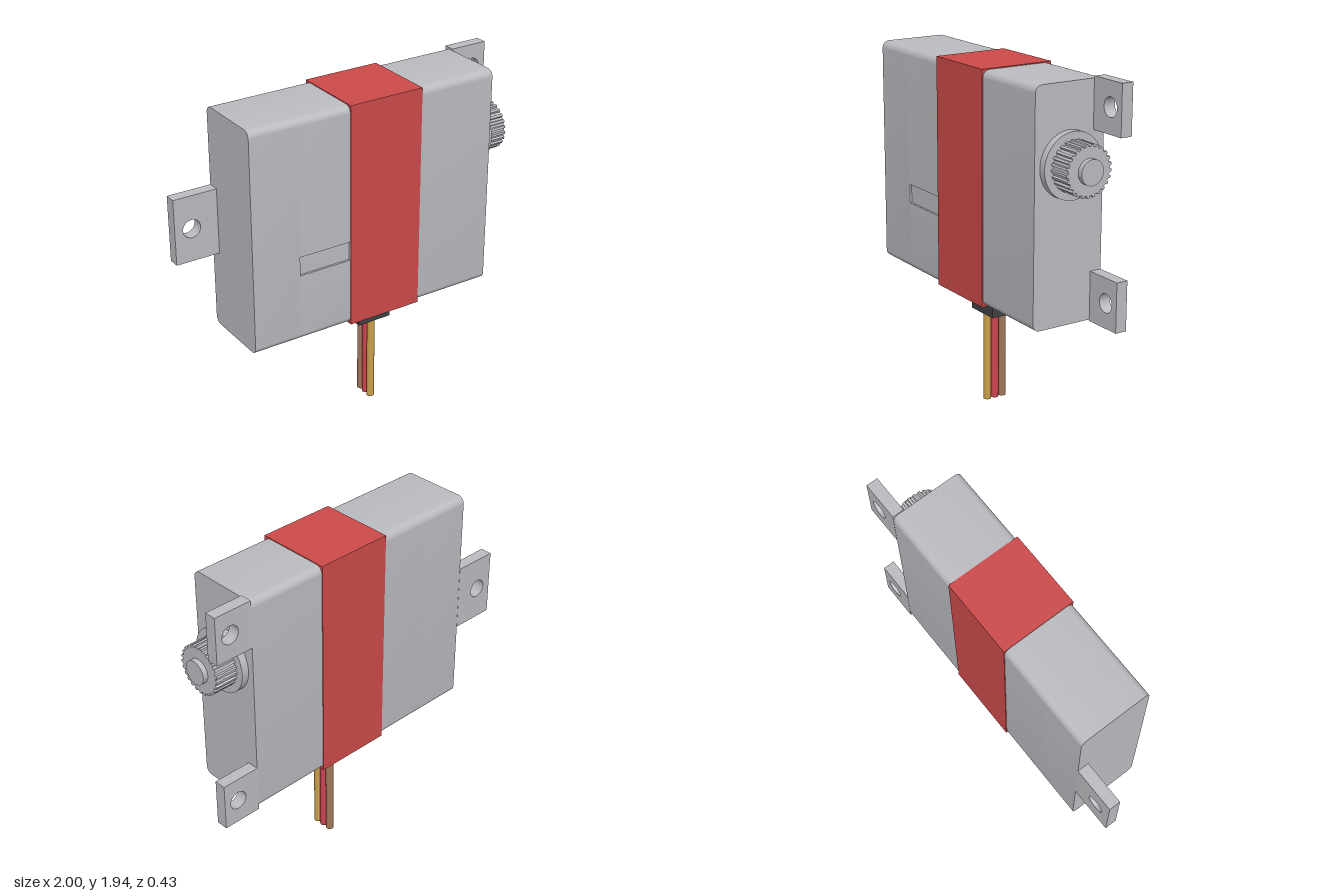
import * as THREE from 'three';
import { toCreasedNormals } from 'three/addons/utils/BufferGeometryUtils.js';

const mat = (name, color) => Object.assign(new THREE.MeshStandardMaterial({ color }), { name });

export function createModel() {
  const model = new THREE.Group();
  model.name = 'servoMotor';
  const grey = mat('light grey', 0xb9bbbf);
  const red = mat('red', 0xcc4a4a);
  const black = mat('charcoal', 0x404143);
  const gold = mat('ochre', 0xc99f4c);
  const brown = mat('brown', 0xa0765b);
  const wireRed = mat('wire red', 0xcc4450);

  const add = (name, geometry, material) => {
    const mesh = new THREE.Mesh(geometry, material);
    mesh.name = name;
    model.add(mesh);
    return mesh;
  };
  const box = (name, x0, x1, y0, y1, z0, z1, material) =>
    add(name, new THREE.BoxGeometry(x1 - x0, y1 - y0, z1 - z0), material)
      .position.set((x0 + x1) / 2, (y0 + y1) / 2, (z0 + z1) / 2);
  // Extrudes a cross-section drawn in (-z, y) along x
  const extrudeX = (shape, x0, x1) => {
    const g = new THREE.ExtrudeGeometry(shape, { depth: x1 - x0, bevelEnabled: false, curveSegments: 8 });
    g.rotateY(Math.PI / 2);
    g.translate(x0, 0, 0);
    return toCreasedNormals(g, 0.5);
  };

  // Case: rounded cross-section, notched where the front recess runs
  const caseProfile = (notched) => {
    const l = -0.21, r = 0.215, b = 0.645, t = 1.93, c = 0.04;
    const s = new THREE.Shape();
    s.moveTo(l + c, b);
    s.lineTo(r - c, b);
    s.absarc(r - c, b + c, c, -Math.PI / 2, 0);
    s.lineTo(r, t - c);
    s.absarc(r - c, t - c, c, 0, Math.PI / 2);
    s.lineTo(l + c, t);
    s.absarc(l + c, t - c, c, Math.PI / 2, Math.PI);
    if (notched) {
      s.lineTo(l, 1.15);
      s.lineTo(l + 0.012, 1.15);
      s.lineTo(l + 0.012, 1.04);
      s.lineTo(l, 1.04);
    }
    s.lineTo(l, b + c);
    s.absarc(l + c, b + c, c, Math.PI, Math.PI * 1.5);
    return s;
  };
  add('caseLeftEnd', extrudeX(caseProfile(false), -0.745, -0.46), grey);
  add('caseRecessed', extrudeX(caseProfile(true), -0.46, -0.145), grey);
  add('caseMain', extrudeX(caseProfile(false), -0.145, 0.775), grey);

  // Band wrapped around the case
  box('band', -0.145, 0.305, 0.64, 1.935, -0.219, 0.215, red);

  // Mounting tabs with screw holes
  const tab = (name, x0, x1, y0, y1, hx, hy) => {
    const s = new THREE.Shape();
    s.moveTo(x0, y0);
    s.lineTo(x1, y0);
    s.lineTo(x1, y1);
    s.lineTo(x0, y1);
    s.closePath();
    const hole = new THREE.Path();
    hole.absarc(hx, hy, 0.052, 0, Math.PI * 2, true);
    s.holes.push(hole);
    const g = new THREE.ExtrudeGeometry(s, { depth: 0.067, bevelEnabled: false, curveSegments: 32 });
    g.translate(0, 0, -0.216);
    add(name, toCreasedNormals(g, 0.5), grey);
  };
  tab('sideTab', -1, -0.744, 1.1, 1.48, -0.9, 1.29);
  tab('upperTab', 0.774, 1, 1.665, 1.94, 0.91, 1.805);
  tab('lowerTab', 0.774, 1, 0.637, 0.912, 0.91, 0.775);

  // Output shaft: collar, splined gear and tip
  const shaftY = 1.505;
  const disc = (name, r, x0, x1) => {
    const g = new THREE.CylinderGeometry(r, r, x1 - x0, 48);
    g.rotateZ(-Math.PI / 2);
    add(name, g, grey).position.set((x0 + x1) / 2, shaftY, 0);
  };
  disc('shaftCollar', 0.179, 0.77, 0.816);
  const teeth = 25, points = [];
  for (let i = 0; i < teeth; i++) {
    [[0, 0.127], [0.4, 0.127], [0.5, 0.139], [0.9, 0.139]].forEach(([f, r]) => {
      const a = ((i + f) / teeth) * Math.PI * 2;
      points.push(new THREE.Vector2(Math.cos(a) * r, shaftY + Math.sin(a) * r));
    });
  }
  add('splineGear', extrudeX(new THREE.Shape(points), 0.81, 0.945), grey);
  disc('shaftTip', 0.068, 0.94, 0.974);

  // Cable exit and three wires
  box('cableGrommet', -0.005, 0.205, 0.52, 0.645, -0.084, 0.084, black);
  [['signalWire', 0.049, gold], ['powerWire', 0, wireRed], ['groundWire', -0.049, brown]].forEach(([name, z, m]) =>
    add(name, new THREE.CylinderGeometry(0.022, 0.022, 0.53, 24), m).position.set(0.1, 0.265, z));

  return model;
}
